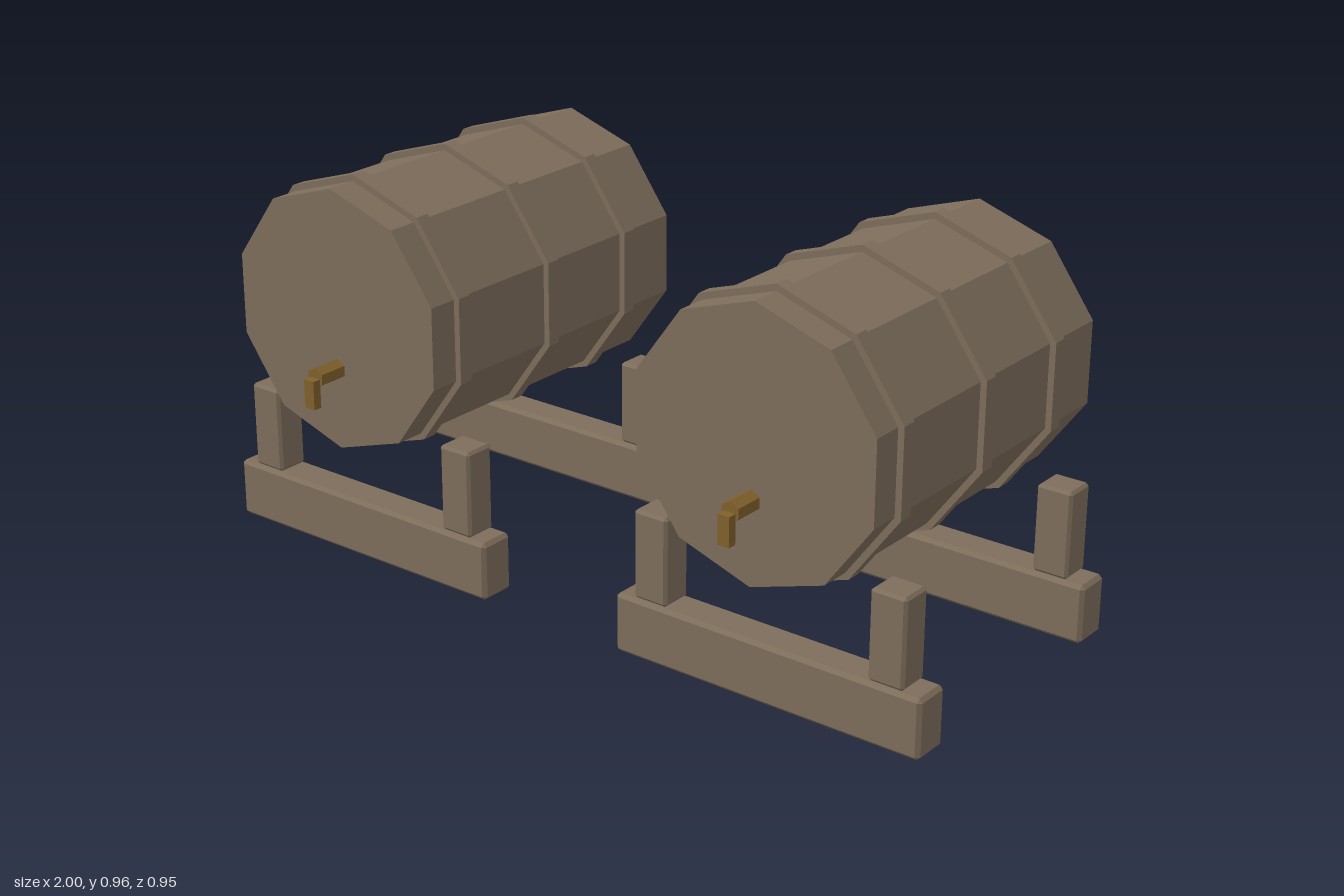
import * as THREE from 'three';
import { ConvexGeometry } from 'three/addons/geometries/ConvexGeometry.js';

const wood = new THREE.MeshStandardMaterial({ color: 0x7d6d5b });
wood.name = 'agedWood';
const brass = new THREE.MeshStandardMaterial({ color: 0x80602c });
brass.name = 'brass';

function addMesh(parent, name, geometry, material, x, y, z) {
  const mesh = new THREE.Mesh(geometry, material);
  mesh.name = name;
  mesh.position.set(x, y, z);
  parent.add(mesh);
  return mesh;
}

// Faceted cylinder lying along z, with a corner pointing straight up
function prism(radius, length, sides) {
  const g = new THREE.CylinderGeometry(radius, radius, length, sides).rotateX(Math.PI / 2).toNonIndexed();
  g.computeVertexNormals();
  return g;
}

// Box with every edge chamfered by c
function chamferBox(w, h, d, c) {
  const points = [];
  for (const sx of [-1, 1]) for (const sy of [-1, 1]) for (const sz of [-1, 1]) {
    for (let axis = 0; axis < 3; axis++) {
      const [x, y, z] = [w, h, d].map((s, i) => s / 2 - (i === axis ? 0 : c));
      points.push(new THREE.Vector3(sx * x, sy * y, sz * z));
    }
  }
  return new ConvexGeometry(points);
}

// Barrel body, hoops and tap
function createBarrel() {
  const barrel = new THREE.Group();
  barrel.name = 'barrel';
  addMesh(barrel, 'barrelBody', prism(0.32, 0.857, 10), wood, 0, 0.62, -0.0475);
  for (const z of [0.288, -0.024, -0.308]) {
    addMesh(barrel, 'hoop', prism(0.336, 0.036, 10), wood, 0, 0.62, z);
  }
  addMesh(barrel, 'tapPipe', prism(0.025, 0.085, 6), brass, 0, 0.5, 0.4125);
  addMesh(barrel, 'tapSpout', new THREE.BoxGeometry(0.03, 0.07, 0.022), brass, 0, 0.465, 0.466);
  return barrel;
}

// Ground beam with an upright post near each end
function createStand(z) {
  const stand = new THREE.Group();
  stand.name = 'stand';
  addMesh(stand, 'beam', chamferBox(0.805, 0.145, 0.094, 0.009), wood, 0, 0.0725, z);
  for (const side of [-1, 1]) {
    addMesh(stand, 'post', chamferBox(0.09, 0.215, 0.081, 0.007), wood, side * 0.31, 0.2525, z);
  }
  return stand;
}

export function createModel() {
  const model = new THREE.Group();
  model.name = 'barrelsOnStands';
  for (const side of [-1, 1]) {
    const unit = new THREE.Group();
    unit.name = side > 0 ? 'leftBarrelUnit' : 'rightBarrelUnit';
    unit.position.x = side * 0.5975;
    unit.add(createBarrel(), createStand(0.287), createStand(-0.381));
    model.add(unit);
  }
  return model;
}
